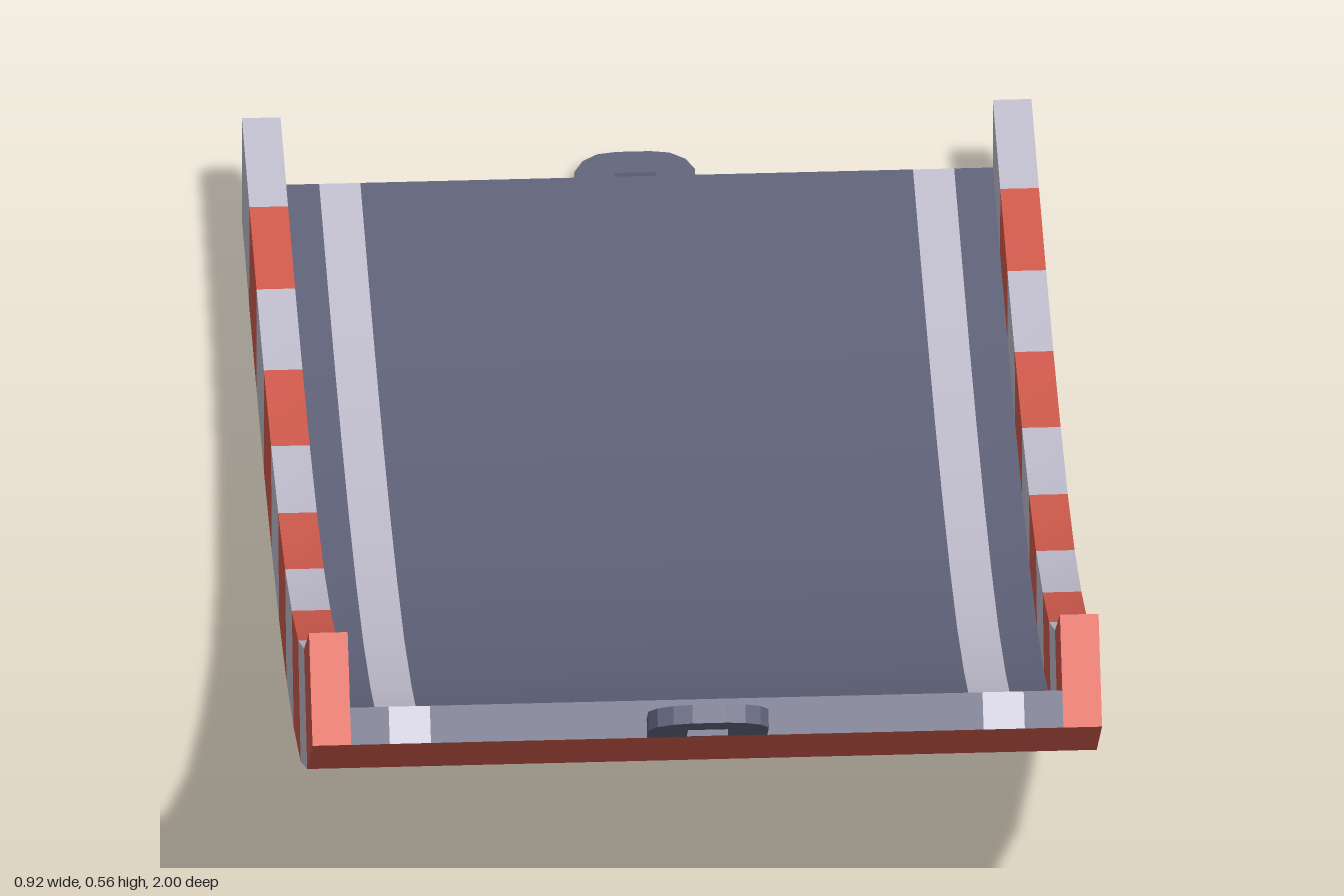
import * as THREE from 'three';
import { toCreasedNormals } from 'three/addons/utils/BufferGeometryUtils.js';

const mat = (name, color) => {
  const m = new THREE.MeshStandardMaterial({ color });
  m.name = name;
  return m;
};

// Side profile from back to front: bottom z, bottom y, rail top z, rail top y
const PROFILE = [
  [-0.91, 0, -0.91, 0.14], [-0.72, 0.003, -0.715, 0.143], [-0.53, 0.01, -0.53, 0.149],
  [-0.33, 0.022, -0.34, 0.16], [-0.14, 0.042, -0.15, 0.178], [0.06, 0.072, 0.035, 0.205],
  [0.25, 0.112, 0.215, 0.244], [0.44, 0.17, 0.39, 0.3], [0.62, 0.24, 0.555, 0.366],
  [0.79, 0.34, 0.71, 0.455], [0.93, 0.463, 0.838, 0.56],
];
const LAST = PROFILE.length - 1;
const OUTER = 0.46, INNER = 0.415, DECK = 0.33;

// Point at station i, sideways x, height fraction h of the rail
function point(i, x, h) {
  const [zb, yb, zt, yt] = PROFILE[i];
  return [x, yb + (yt - yb) * h, zb + (zt - zb) * h];
}

// Collects quads by material and makes one mesh with smooth curves and sharp edges
function quadMesh(name, materials, fill) {
  const lists = materials.map(() => []);
  fill((m, a, b, c, d) => lists[m].push(...a, ...b, ...c, ...a, ...c, ...d));
  const geo = new THREE.BufferGeometry();
  geo.setAttribute('position', new THREE.Float32BufferAttribute(lists.flat(), 3));
  let start = 0;
  lists.forEach((list, m) => {
    geo.addGroup(start, list.length / 3, m);
    start += list.length / 3;
  });
  const mesh = new THREE.Mesh(toCreasedNormals(geo, 0.5), materials);
  mesh.name = name;
  return mesh;
}

// Sweeps one edge of the cross-section along the profile
function sweep(quad, [x0, h0], [x1, h1], colourAt) {
  for (let i = 0; i < LAST; i++) {
    quad(colourAt(i), point(i, x0, h0), point(i, x1, h1), point(i + 1, x1, h1), point(i + 1, x0, h0));
  }
}

// Closes both ends of a rectangular strip
function caps(quad, x0, x1, h, backColour, frontColour) {
  quad(frontColour, point(LAST, x0, 0), point(LAST, x1, 0), point(LAST, x1, h), point(LAST, x0, h));
  quad(backColour, point(0, x1, 0), point(0, x0, 0), point(0, x0, h), point(0, x1, h));
}

// Flat connector loop, lying in xz and reaching toward +z
function connector(name, material, length) {
  const s = new THREE.Shape();
  const outline = [[-0.07, 0], [0.07, 0], [0.07, 0.052], [0.06, 0.074], [0.042, 0.088], [0.02, length],
    [-0.02, length], [-0.042, 0.088], [-0.06, 0.074], [-0.07, 0.052]];
  s.setFromPoints(outline.map(([x, z]) => new THREE.Vector2(x, z)));
  const hole = [[-0.024, 0.003], [-0.024, 0.047], [0.024, 0.047], [0.024, 0.003]];
  s.holes.push(new THREE.Path(hole.map(([x, z]) => new THREE.Vector2(x, z))));
  const geo = new THREE.ExtrudeGeometry(s, { depth: 0.022, bevelEnabled: false });
  geo.rotateX(Math.PI / 2).translate(0, 0.022, 0);
  const mesh = new THREE.Mesh(geo, material);
  mesh.name = name;
  return mesh;
}

export function createModel() {
  const road = mat('road slate', 0x64677e);
  const white = mat('pale grey', 0xc8c5d6);
  const red = mat('kerb red', 0xd95f50);
  const group = new THREE.Group();
  group.name = 'rampTrack';

  // Striped shell: both rails and the underside
  group.add(quadMesh('stripedShell', [white, red], (quad) => {
    const section = [[-INNER, DECK], [-INNER, 1], [-OUTER, 1], [-OUTER, 0],
      [OUTER, 0], [OUTER, 1], [INNER, 1], [INNER, DECK]];
    for (let k = 0; k < section.length - 1; k++) {
      sweep(quad, section[k], section[k + 1], (i) => i % 2);
    }
    caps(quad, -OUTER, -INNER, 1, 0, 1);
    caps(quad, INNER, OUTER, 1, 0, 1);
  }));

  // Road deck with a pale line near each rail
  group.add(quadMesh('roadDeck', [road, white], (quad) => {
    const xs = [-INNER, -0.37, -0.322, 0.322, 0.37, INNER];
    for (let k = 0; k < xs.length - 1; k++) {
      sweep(quad, [xs[k + 1], DECK], [xs[k], DECK], () => k % 2);
      caps(quad, xs[k], xs[k + 1], DECK, k % 2, k % 2);
    }
  }));

  // Connector loops at the two ends
  const back = connector('backConnector', road, 0.092);
  back.rotation.y = Math.PI;
  back.position.z = -0.908;
  const front = connector('frontConnector', road, 0.094);
  front.rotation.x = -0.74;
  front.position.set(0, 0.463, 0.93);
  group.add(back, front);
  return group;
}
